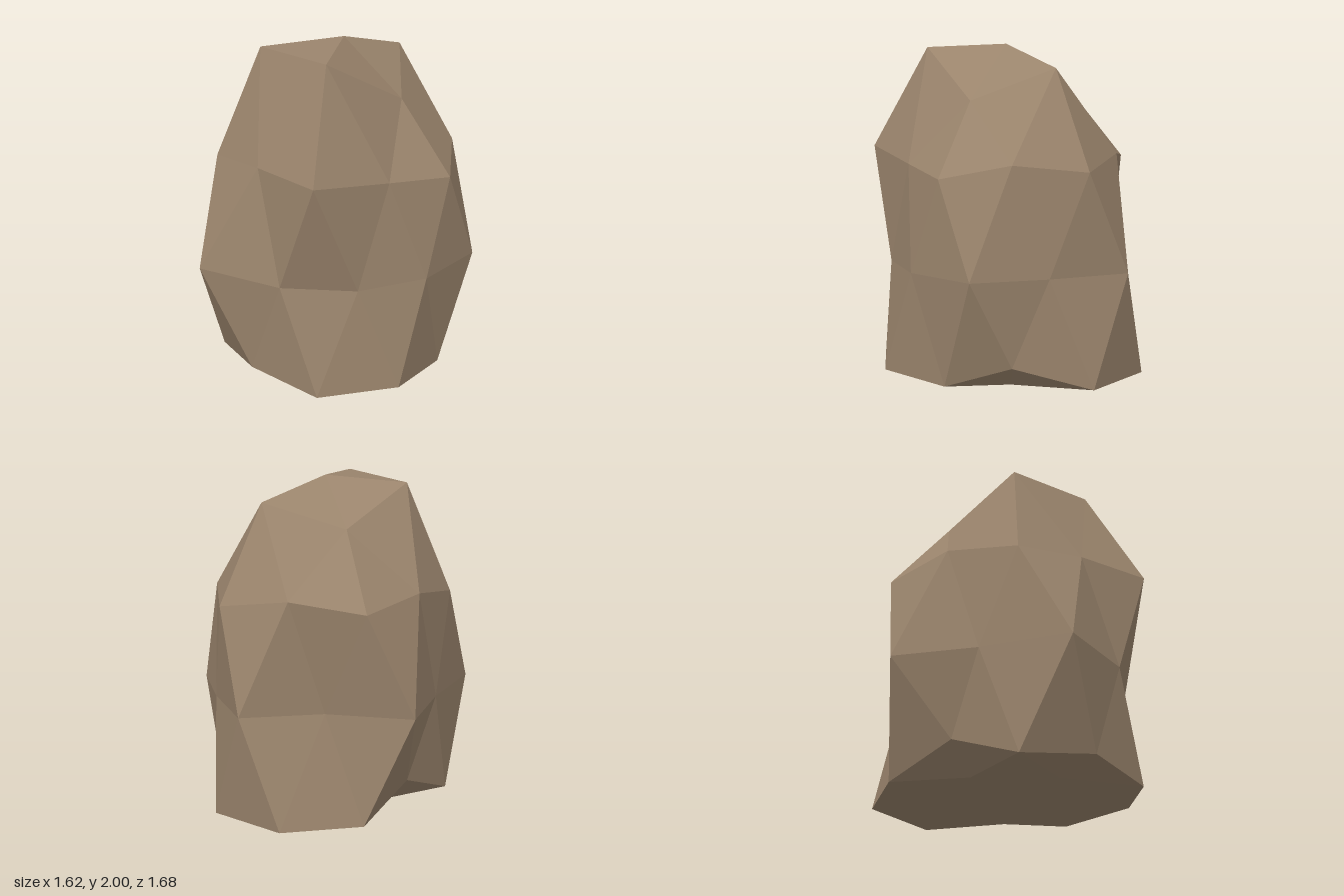
import * as THREE from 'three';

// Facetted boulder: a 42-point icosphere with uneven radii, stretched upward and cut flat at the ground.
const CENTRE = [0.04, 0.665, 0.02];

// One ring of points: horizontal radii at even angles; slope(i) gives height per unit radius.
function ring(radii, startDegrees, slope) {
  return radii.map((r, i) => {
    const a = THREE.MathUtils.degToRad(startDegrees + (360 / radii.length) * i);
    const y = Math.max(0, CENTRE[1] + r * slope(i));
    return [CENTRE[0] + r * Math.cos(a), y, CENTRE[2] + r * Math.sin(a)];
  });
}

function boulderGeometry() {
  const top = [CENTRE[0], 2, CENTRE[2]];
  const bottom = [CENTRE[0], 0, CENTRE[2]];
  const a = ring([0.39, 0.506, 0.497, 0.41, 0.465], 0, () => 2.59);
  const b = ring([0.72, 0.63, 0.863, 0.68, 0.772, 0.69, 0.78, 0.69, 0.768, 0.67], 0,
    (i) => (i % 2 ? 0.99 : 0.8));
  const c = ring([0.726, 0.714, 0.765, 0.955, 0.715, 0.895, 0.61, 0.86, 0.705, 0.81], 18, () => 0);
  const d = ring([0.67, 0.79, 0.805, 0.76, 0.766, 0.62, 0.75, 0.86, 0.82, 0.663], 0,
    (i) => (i % 2 ? -0.8 : -0.99));
  const e = ring([0.45, 0.45, 0.42, 0.45, 0.51], 36, () => -2.59);

  const points = [];
  const tri = (...corners) => corners.forEach((p) => points.push(...p));
  const at = (list, i) => list[(i + list.length) % list.length];

  // Crown and base
  for (let k = 0; k < 5; k++) {
    const m = 2 * k;
    tri(top, at(a, k + 1), a[k]);
    tri(a[k], b[m], at(b, m - 1));
    tri(a[k], b[m + 1], b[m]);
    tri(a[k], at(a, k + 1), b[m + 1]);

    tri(d[m], d[m + 1], e[k]);
    tri(d[m + 1], at(d, m + 2), e[k]);
    tri(at(d, m + 2), at(e, k + 1), e[k]);
    tri(e[k], at(e, k + 1), bottom);
  }
  // Sides
  for (let j = 0; j < 10; j++) {
    tri(b[j], at(b, j + 1), c[j]);
    tri(b[j], c[j], at(c, j - 1));
    tri(at(c, j - 1), c[j], d[j]);
    tri(c[j], at(d, j + 1), d[j]);
  }

  const geometry = new THREE.BufferGeometry();
  geometry.setAttribute('position', new THREE.Float32BufferAttribute(points, 3));
  geometry.computeVertexNormals(); // unshared corners give flat facets
  return geometry;
}

export function createModel() {
  const stone = new THREE.MeshStandardMaterial({ color: 0x9a846c });
  stone.name = 'brown stone';
  stone.flatShading = true;

  const boulder = new THREE.Mesh(boulderGeometry(), stone);
  boulder.name = 'boulder';

  const model = new THREE.Group();
  model.name = 'rock';
  model.add(boulder);
  return model;
}
